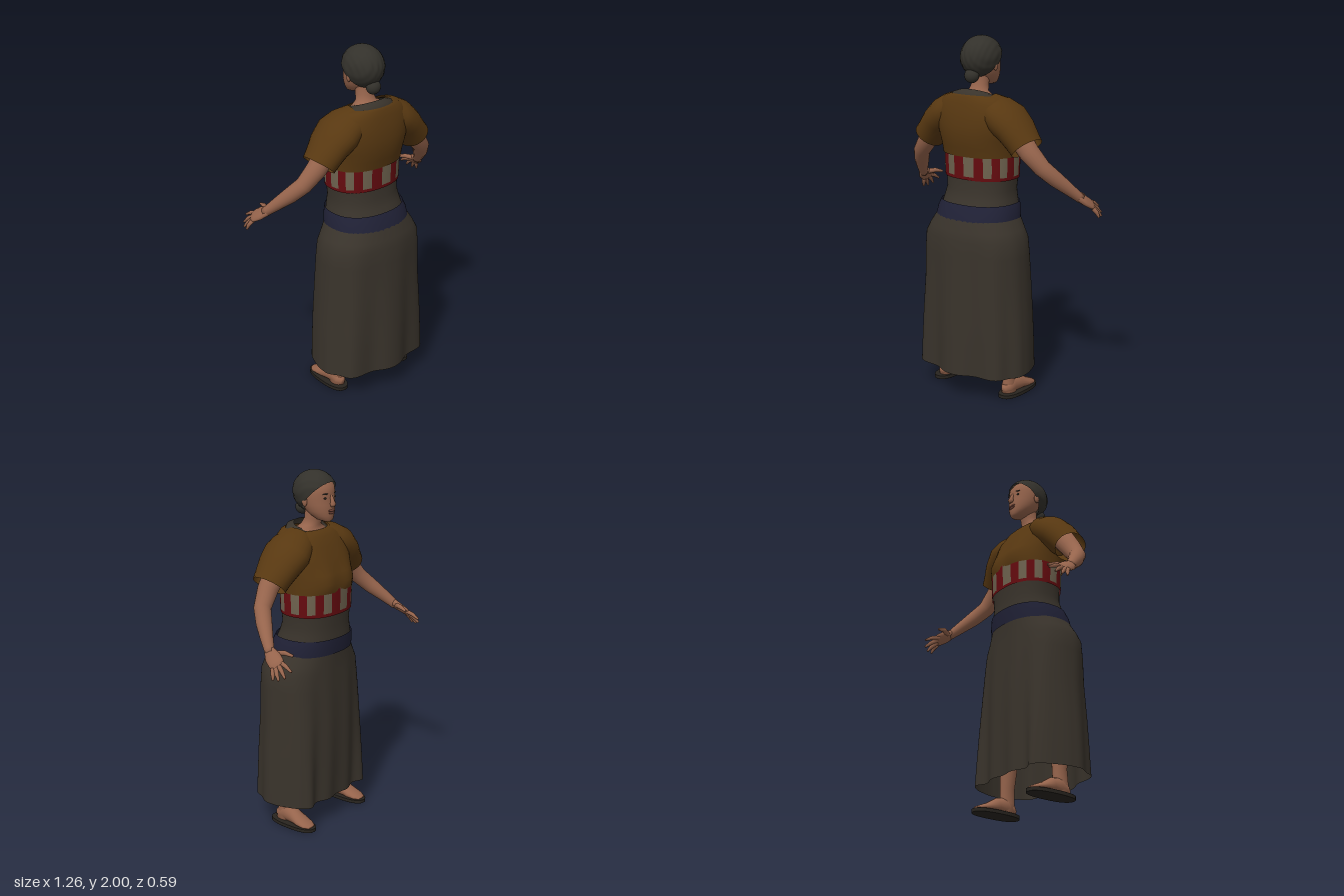
import * as THREE from 'three';

const V = (x, y, z) => new THREE.Vector3(x, y, z);

function mat(name, color, double = false) {
  const m = new THREE.MeshStandardMaterial({ color });
  m.name = name;
  if (double) m.side = THREE.DoubleSide;
  return m;
}

// Horizontal ring: height, half width, front z, back z, squareness, back lift, centre x
function ring([y, hw, zf, zb, n = 2, tilt = 0, cx = 0], segs, tweak) {
  const pts = [];
  const bend = v => Math.sign(v) * Math.pow(Math.abs(v), 2 / n);
  for (let j = 0; j < segs; j++) {
    const a = (j / segs) * Math.PI * 2;
    const s = bend(Math.sin(a));
    const p = V(cx + hw * bend(Math.cos(a)), y + tilt * s, (zf + zb) / 2 + s * (zb - zf) / 2);
    if (tweak) tweak(p, a);
    pts.push(p);
  }
  return pts;
}

// Smooth skin over a list of rings; pick(row, segment) chooses a material index
function skinRings(name, rings, material, { caps = false, pick = null } = {}) {
  const n = rings[0].length, pos = [], idx = [], geo = new THREE.BufferGeometry();
  rings.flat().forEach(p => pos.push(p.x, p.y, p.z));
  for (let i = 0; i < rings.length - 1; i++) {
    for (let j = 0; j < n; j++) {
      const k = (j + 1) % n, a = i * n + j, b = a + n, c = i * n + k, d = c + n;
      if (pick) geo.addGroup(idx.length, 6, pick(i, j));
      idx.push(a, b, c, c, b, d);
    }
  }
  if (caps) {
    [0, rings.length - 1].forEach(r => {
      const mid = rings[r].reduce((s, p) => s.add(p), V(0, 0, 0)).divideScalar(n);
      const m = pos.length / 3;
      pos.push(mid.x, mid.y, mid.z);
      for (let j = 0; j < n; j++) {
        const a = r * n + j, b = r * n + (j + 1) % n;
        idx.push(...(r === 0 ? [m, a, b] : [m, b, a]));
      }
    });
  }
  geo.setAttribute('position', new THREE.Float32BufferAttribute(pos, 3));
  geo.setIndex(idx);
  geo.computeVertexNormals();
  const mesh = new THREE.Mesh(geo, material);
  mesh.name = name;
  return mesh;
}

const loft = (name, specs, material, { segs = 48, tweak = null, ...rest } = {}) =>
  skinRings(name, specs.map(s => ring(s, segs, tweak)), material, rest);

// Tube through [x, y, z, radius along ref, radius across]; side mirrors it in x
function limb(name, pts, material, side = 1, { ref = V(0, 0, 1), segs = 14, caps = true } = {}) {
  const P = pts.map(p => V(p[0] * side, p[1], p[2]));
  const r = V(ref.x * side, ref.y, ref.z);
  const rings = P.map((c, i) => {
    const T = P[Math.min(i + 1, P.length - 1)].clone().sub(P[Math.max(i - 1, 0)]).normalize();
    const u = r.clone().addScaledVector(T, -r.dot(T)).normalize();
    const v = u.clone().cross(T);
    const ru = pts[i][3], rv = pts[i][4] ?? ru;
    return Array.from({ length: segs }, (_, j) => {
      const a = (j / segs) * Math.PI * 2;
      return c.clone().addScaledVector(u, Math.cos(a) * ru).addScaledVector(v, Math.sin(a) * rv);
    });
  });
  return skinRings(name, rings, material, { caps });
}

function blob(name, [x, y, z], [rx, ry, rz], material) {
  const m = new THREE.Mesh(new THREE.SphereGeometry(1, 18, 12).scale(rx, ry, rz), material);
  m.position.set(x, y, z);
  m.name = name;
  return m;
}

export function createModel() {
  const model = new THREE.Group();
  model.name = 'woman';
  const skin = mat('skin', 0x96644c);
  const hair = mat('hair', 0x33312b, true);
  const brown = mat('brown blouse', 0x583811, true);
  const grey = mat('grey cloth', 0x39332b, true);
  const navy = mat('navy sash', 0x202136, true);
  const red = mat('red stripe', 0x660b0f, true);
  const cream = mat('cream stripe', 0x6f634f, true);
  const dark = mat('dark leather', 0x28241f);
  const lip = mat('lips', 0x74463a);
  const add = (...m) => model.add(...m);

  // Long skirt: scalloped folds behind, two fuller folds over the feet in front
  const folds = (p, a) => {
    const k = Math.max(0, 1.0 - p.y) / 0.85;
    const s = Math.sin(a);
    if (s > 0) {
      const f = 1 + k * s * (0.025 + 0.075 * Math.cos(8 * (a - Math.PI / 2)));
      p.x *= f;
      p.z = 0.05 + (p.z - 0.05) * f;
    } else {
      p.z -= k * Math.min(1, -s * 2) * 0.055 * Math.exp(-((Math.abs(p.x) - 0.26) ** 2) / 0.003);
      p.z += k * 0.008 * s * Math.cos(a * 14);
    }
  };
  add(loft('skirt', [
    [0.145, 0.34, -0.165, 0.267, 2.2], [0.3, 0.335, -0.168, 0.267, 2.2], [0.45, 0.328, -0.17, 0.267, 2.2],
    [0.65, 0.314, -0.17, 0.262, 2.25], [0.82, 0.31, -0.162, 0.26, 2.3],
    [0.91, 0.303, -0.16, 0.258, 2.3], [0.96, 0.277, -0.158, 0.246, 2.3],
    [1.025, 0.236, -0.16, 0.224, 2.3]], grey, { segs: 120, tweak: folds }));

  // Sash, waist and striped band
  add(loft('sash', [[1.01, 0.242, -0.165, 0.229, 2.3], [1.06, 0.236, -0.17, 0.215, 2.3],
    [1.1, 0.222, -0.172, 0.197, 2.3]], navy));
  add(loft('waist', [[1.08, 0.218, -0.165, 0.192, 2.3], [1.12, 0.209, -0.163, 0.175, 2.3],
    [1.17, 0.2, -0.16, 0.158, 2.3], [1.25, 0.208, -0.164, 0.155, 2.3]], grey));
  add(loft('stripedBand', [[1.232, 0.213, -0.17, 0.162, 2.3], [1.25, 0.215, -0.17, 0.163, 2.3],
    [1.31, 0.217, -0.172, 0.165, 2.3], [1.38, 0.217, -0.174, 0.168, 2.3]], [red, cream],
  { segs: 96, pick: (i, j) => (i > 0 && Math.floor(j / 4) % 2 ? 1 : 0) }));

  // Blouse body with a soft bust
  const bust = p => {
    if (p.z < 0) p.z -= 0.014 * Math.exp(-((Math.abs(p.x) - 0.09) ** 2) / 0.003 - ((p.y - 1.43) ** 2) / 0.003);
  };
  add(loft('blouse', [
    [1.36, 0.222, -0.172, 0.172, 2.3], [1.41, 0.225, -0.176, 0.183, 2.3],
    [1.46, 0.23, -0.158, 0.195, 2.3], [1.53, 0.245, -0.132, 0.199, 2.3],
    [1.6, 0.245, -0.1, 0.19, 2.3], [1.65, 0.22, -0.07, 0.178, 2.2],
    [1.678, 0.178, -0.048, 0.168, 2.1, 0.008], [1.687, 0.138, -0.03, 0.157, 2, 0.008]],
  brown, { segs: 64, tweak: bust }));
  // Undershirt collar, shoulders and neck
  add(loft('collar', [[1.668, 0.146, -0.04, 0.16, 2, 0.01], [1.692, 0.13, -0.02, 0.151, 2, 0.018],
    [1.7, 0.09, -0.005, 0.118, 2, 0.022]], grey));
  add(loft('neck', [[1.64, 0.14, -0.05, 0.14], [1.68, 0.1, -0.025, 0.115], [1.705, 0.056, -0.022, 0.085],
    [1.74, 0.048, -0.032, 0.064], [1.79, 0.048, -0.04, 0.06]], skin, { segs: 28 }));

  // Head
  add(loft('head', [
    [1.733, 0.022, -0.1, -0.05], [1.742, 0.042, -0.109, -0.02], [1.765, 0.062, -0.111, 0.02],
    [1.79, 0.077, -0.113, 0.05], [1.825, 0.087, -0.112, 0.07], [1.86, 0.091, -0.107, 0.08],
    [1.885, 0.092, -0.11, 0.085], [1.92, 0.088, -0.105, 0.085], [1.95, 0.072, -0.084, 0.075],
    [1.975, 0.042, -0.05, 0.05]], skin, { segs: 32, caps: true }));
  add(limb('nose', [[0, 1.878, -0.104, 0.006, 0.008], [0, 1.85, -0.112, 0.012, 0.01],
    [0, 1.828, -0.119, 0.016, 0.017], [0, 1.816, -0.115, 0.01, 0.014]], skin));
  add(blob('upperLip', [0, 1.793, -0.11], [0.027, 0.007, 0.008], lip));
  add(blob('lowerLip', [0, 1.782, -0.109], [0.023, 0.008, 0.008], lip));
  for (const s of [1, -1]) {
    add(blob('eye', [s * 0.037, 1.862, -0.0975], [0.015, 0.006, 0.004], dark));
    const brow = blob('eyebrow', [s * 0.039, 1.884, -0.099], [0.019, 0.004, 0.004], hair);
    brow.rotation.y = s * -0.3;
    add(brow);
    add(blob('ear', [s * 0.093, 1.842, 0.0], [0.01, 0.027, 0.016], skin));
  }

  // Swept-back hair with shallow waves and a low bun
  const cap = new THREE.SphereGeometry(1, 64, 32, 0, Math.PI * 2, 0, Math.PI * 0.6).rotateX(0.85);
  const hp = cap.attributes.position;
  for (let i = 0; i < hp.count; i++) {
    const x = hp.getX(i), y = hp.getY(i), z = hp.getZ(i);
    const k = 1 + 0.018 * Math.sin(x * 20) * Math.sin(z * 10 + y * 8);
    hp.setXYZ(i, x * 0.108 * k, y * 0.115, z * 0.126 * k);
  }
  cap.computeVertexNormals();
  const hairMesh = new THREE.Mesh(cap, hair);
  hairMesh.position.set(0, 1.885, 0.006);
  hairMesh.name = 'hair';
  add(hairMesh);
  add(blob('bun', [0, 1.79, 0.09], [0.042, 0.04, 0.038], hair));

  // Arms, hands, legs and shoes
  for (const s of [1, -1]) {
    add(limb('sleeve', [[0.09, 1.625, 0.055, 0.1, 0.08], [0.15, 1.598, 0.045, 0.13, 0.092],
      [0.2, 1.565, 0.037, 0.142, 0.1], [0.26, 1.515, 0.04, 0.128, 0.092], [0.305, 1.462, 0.043, 0.11, 0.086],
      [0.337, 1.425, 0.045, 0.1, 0.084]], brown, s, { segs: 28, caps: false }));
    add(limb('arm', [[0.25, 1.53, 0.05, 0.065], [0.35, 1.405, 0.043, 0.056], [0.42, 1.325, 0.02, 0.047],
      [0.47, 1.262, -0.035, 0.043], [0.515, 1.205, -0.092, 0.034], [0.546, 1.162, -0.135, 0.027],
      [0.556, 1.148, -0.15, 0.026]], skin, s, { segs: 20 }));
    const across = V(0.72, -0.62, 0.31);
    add(limb('palm', [[0.546, 1.162, -0.134, 0.027, 0.025], [0.564, 1.137, -0.172, 0.042, 0.02],
      [0.577, 1.115, -0.207, 0.042, 0.016], [0.584, 1.103, -0.228, 0.034, 0.011]], skin, s, { ref: across }));
    // Fingers: base, knuckle, tip
    [
      [[0.562, 1.122, -0.217], [0.568, 1.108, -0.262], [0.57, 1.085, -0.303]],
      [[0.575, 1.11, -0.217], [0.59, 1.085, -0.255], [0.6, 1.055, -0.285]],
      [[0.589, 1.099, -0.211], [0.608, 1.07, -0.238], [0.618, 1.042, -0.258]],
      [[0.601, 1.09, -0.204], [0.616, 1.066, -0.218], [0.625, 1.04, -0.226]],
      [[0.545, 1.15, -0.165], [0.517, 1.155, -0.21], [0.503, 1.143, -0.258]],
    ].forEach(([a, b, c], i) => {
      const w = i === 4 ? 1.2 : 1;
      add(limb(i === 4 ? 'thumb' : 'finger', [[...a, 0.013 * w], [...b, 0.0115 * w], [...c, 0.006 * w]],
        skin, s, { segs: 8, ref: across }));
    });

    add(limb('leg', [[0.17, 0.75, 0.04, 0.075], [0.2, 0.45, 0.05, 0.058], [0.218, 0.3, 0.045, 0.05],
      [0.222, 0.16, 0.04, 0.043, 0.034], [0.226, 0.08, 0.042, 0.045, 0.034],
      [0.228, 0.02, 0.044, 0.05, 0.038]], skin, s, { segs: 18 }));
    add(limb('foot', [[0.228, 0.04, 0.095, 0.015, 0.02], [0.228, 0.045, 0.07, 0.034, 0.035],
      [0.228, 0.06, 0.025, 0.038, 0.052], [0.23, 0.056, -0.025, 0.042, 0.046],
      [0.233, 0.038, -0.085, 0.049, 0.028], [0.235, 0.029, -0.13, 0.045, 0.018],
      [0.235, 0.024, -0.16, 0.026, 0.009]], skin, s, { ref: V(1, 0, 0), segs: 20 }));
    const sole = y => [y, 0.06, -0.178, 0.122, 2.5, 0, s * 0.234];
    add(loft('shoeSole', [sole(0), sole(0.001), sole(0.019), sole(0.02)], dark, { segs: 32, caps: true }));
  }
  return model;
}
